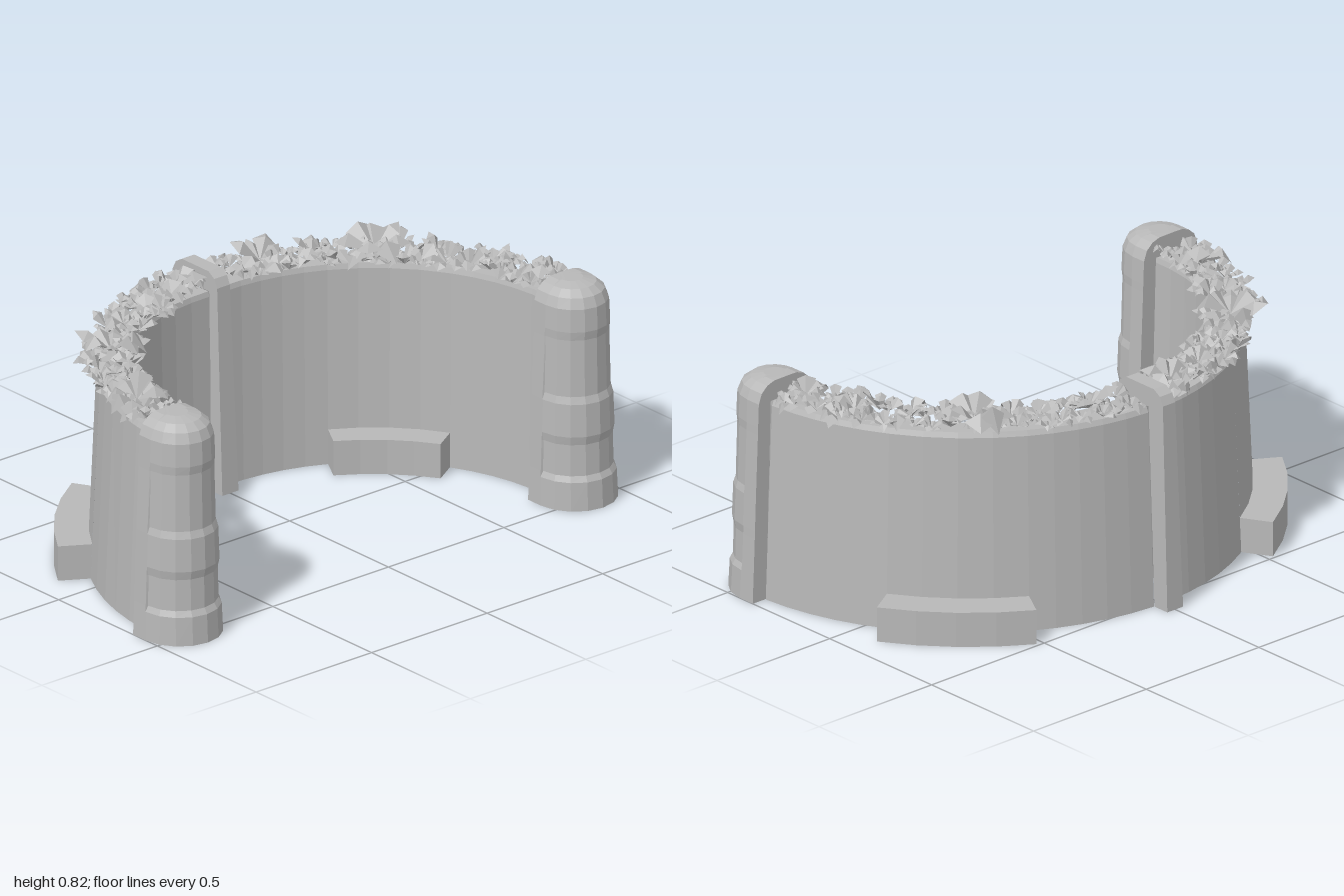
import * as THREE from 'three';
import { mergeGeometries } from 'three/addons/utils/BufferGeometryUtils.js';

const CX = 0.42; // centre of the wall's arc on x
const stone = new THREE.MeshStandardMaterial({ color: 0xb8b8b8, flatShading: true, side: THREE.DoubleSide });
stone.name = 'grey stone';

// surface through rows of [x, y, z] points
function grid(rows) {
  const pos = [];
  for (let i = 0; i < rows.length - 1; i++) {
    for (let j = 0; j < rows[i].length - 1; j++) {
      const a = rows[i][j], b = rows[i + 1][j], c = rows[i][j + 1], d = rows[i + 1][j + 1];
      pos.push(...a, ...b, ...c, ...b, ...d, ...c);
    }
  }
  const g = new THREE.BufferGeometry();
  g.setAttribute('position', new THREE.Float32BufferAttribute(pos, 3));
  g.computeVertexNormals();
  return g;
}

// flat panel with the given outline, facing +z
function panel(points) {
  const shape = new THREE.Shape(points.map(([x, y]) => new THREE.Vector2(x, y)));
  const g = new THREE.ShapeGeometry(shape).toNonIndexed();
  g.deleteAttribute('uv');
  return g;
}

const arcPoint = (a, r, y) => [CX - r * Math.cos(a), y, r * Math.sin(a)];

// sweep a profile of [radius, y], given by angle, around the arc
function sweep(profile, from, to, segments) {
  const rows = [];
  for (let i = 0; i <= segments; i++) {
    const a = THREE.MathUtils.degToRad(from + (to - from) * i / segments);
    rows.push(profile(a).map(([r, y]) => arcPoint(a, r, y)));
  }
  return rows;
}

function part(name, geometry) {
  const m = new THREE.Mesh(geometry, stone);
  m.name = name;
  return m;
}

// wall is thinnest halfway between rib and end post
const thinning = (a) => 0.03 * Math.abs(Math.sin(2 * a));

function wallTop(a) {
  const t = thinning(a);
  return [[0.918 - t / 4, 0.69], [0.91 - t / 4, 0.708], [0.795 + t, 0.708], [0.79 + t, 0.69]];
}

function wallProfile(a) {
  const t = thinning(a);
  return [[0.947 - t / 4, 0], ...wallTop(a), [0.775 + t, 0]];
}

// wall section that steps out into a low block on both faces
function footingProfile(a) {
  const t = thinning(a), h = 0.123;
  return [[1.05, 0], [1.05, h], [0.942 - t / 4, h], ...wallTop(a), [0.778 + t, h], [0.706, h], [0.706, 0]];
}

function footing(from, to) {
  const rows = sweep(footingProfile, from, to, 4);
  const ends = [from, to].flatMap((degrees, end) => {
    const a = THREE.MathUtils.degToRad(degrees);
    const row = rows[end * 4], [outer, inner] = [wallProfile(a)[0], wallProfile(a)[5]].map((p) => arcPoint(a, ...p));
    const quads = [[[row[0], row[1]], [outer, row[2]]], [[inner, row[7]], [row[9], row[8]]]];
    return quads.map((q) => grid(end ? q : q.reverse()));
  });
  return mergeGeometries([grid(rows), ...ends]);
}

// D-shaped end post: flat back notched around the wall, banded and domed front
function postGeometry() {
  // y, half width, front radius, back strip depth
  const levels = [
    [0, 0.145, 0.147, 0.06], [0.1, 0.141, 0.144, 0.058], [0.12, 0.14, 0.132, 0.058],
    [0.23, 0.136, 0.13, 0.057], [0.26, 0.135, 0.138, 0.056], [0.375, 0.131, 0.134, 0.056],
    [0.4, 0.13, 0.124, 0.056], [0.6, 0.122, 0.119, 0.056], [0.63, 0.121, 0.125, 0.055],
    [0.71, 0.118, 0.122, 0.054], [0.745, 0.105, 0.107, 0.054], [0.767, 0.08, 0.08, 0.052],
    [0.777, 0.05, 0.04, 0.045],
  ];
  const rows = levels.map(([y, w, r, d]) => {
    const x = 0.377 + d;
    const ring = [[0.377, y, -w], [x, y, -w]];
    for (let i = 0; i <= 8; i++) {
      const a = -Math.PI / 2 + Math.PI * i / 8;
      ring.push([x + 0.003 + r * Math.cos(a), y, Math.min(r, w) * Math.sin(a)]);
    }
    ring.push([x, y, w], [0.377, y, w]);
    return ring;
  });
  rows.push(rows[0].map(() => [0.377, 0.778, 0]));
  const edge = levels.map(([y, w]) => [w, y]);
  const back = panel([...edge, ...edge.map(([w, y]) => [-w, y]).reverse(),
    [-0.085, 0], [-0.065, 0.708], [0.06, 0.708], [0.09, 0]]);
  back.rotateY(-Math.PI / 2);
  back.translate(0.377, 0, 0);
  return mergeGeometries([grid(rows), back]);
}

// narrow rib that wraps over the middle of the wall
function ribGeometry() {
  const path = [[-0.59, 0], [-0.56, 0.73], [-0.545, 0.76], [-0.515, 0.778],
    [-0.38, 0.778], [-0.35, 0.76], [-0.335, 0.73], [-0.3, 0]];
  const outline = [...path, [-0.355, 0], [-0.375, 0.708], [-0.49, 0.708], [-0.527, 0]];
  const halfWidth = (y) => 0.035 - 0.008 * y / 0.778;
  const rim = grid([-1, 1].map((s) => path.map(([x, y]) => [x, y, s * halfWidth(y)])));
  const sides = [-1, 1].map((s) => {
    const g = panel(outline.map(([x, y]) => [x * s, y]));
    if (s < 0) g.rotateY(Math.PI);
    const p = g.attributes.position;
    for (let i = 0; i < p.count; i++) p.setZ(i, s * halfWidth(p.getY(i)));
    return g;
  });
  return mergeGeometries([rim, ...sides]);
}

let seed = 17;
function random(min, max) {
  seed = (seed * 16807) % 2147483647;
  return min + (max - min) * seed / 2147483647;
}

// rosette of folded leaves, set on the wall top by angle and radius
function plant(size, count, lift, degrees, radius, y) {
  const leaves = [];
  for (let i = 0; i < count; i++) {
    const r = size * random(0.75, 1.1), w = r * 0.36;
    const h = r * lift * random(0.5, 1.3), tip = h + r * random(-0.6, 0.15);
    const leaf = grid([
      [[0, 0, 0], [0, 0, 0], [0, 0, 0]],
      [[0.68 * r, h - 0.12 * r, w], [0.62 * r, h + 0.1 * r, 0], [0.68 * r, h - 0.12 * r, -w]],
      [[r, tip, 0], [r, tip, 0], [r, tip, 0]],
    ]);
    leaf.rotateY((i + random(-0.25, 0.25)) / count * Math.PI * 2);
    leaves.push(leaf);
  }
  const g = mergeGeometries(leaves);
  g.rotateX(random(-0.3, 0.3));
  g.rotateZ(random(-0.3, 0.3));
  g.translate(...arcPoint(THREE.MathUtils.degToRad(degrees), radius, y));
  return g;
}

export function createModel() {
  const model = new THREE.Group();
  model.name = 'curvedWall';
  model.add(part('middleRib', ribGeometry()));

  for (const side of [-1, 1]) {
    const label = side > 0 ? 'front' : 'back';
    const span = (from, to) => (side > 0 ? [from, to] : [-to, -from]);
    model.add(part(label + 'WallNearRib', grid(sweep(wallProfile, ...span(2.2, 30), 5))));
    model.add(part(label + 'WallFooting', footing(...span(30, 59))));
    model.add(part(label + 'WallNearPost', grid(sweep(wallProfile, ...span(59, 87.2), 5))));
    const post = part(label + 'EndPost', postGeometry());
    post.position.z = side * 0.855;
    model.add(post);
  }

  // small leaves along the top of the wall
  const small = [];
  for (let i = 0; i < 44; i++) {
    const degrees = -84 + 168 * i / 43;
    if (Math.abs(degrees) < 3) continue;
    for (const offset of [-0.045, 0.045]) {
      small.push(plant(random(0.045, 0.068), 6, 0.65, degrees + random(-1.5, 1.5),
        0.858 + offset + random(-0.015, 0.015), 0.708 + random(0, 0.02)));
    }
  }
  model.add(part('smallLeaves', mergeGeometries(small)));

  // larger rosettes, as [angle, size]
  const large = [
    [-81, 0.09], [-68, 0.075], [-55, 0.08], [-41, 0.13], [-27, 0.08], [-15, 0.105],
    [8, 0.1], [19, 0.08], [32, 0.075], [47, 0.12], [60, 0.075], [75, 0.105],
  ].map(([degrees, size]) => plant(size, 8, 0.4, degrees, 0.86, 0.735));
  model.add(part('largeLeaves', mergeGeometries(large)));

  return model;
}
